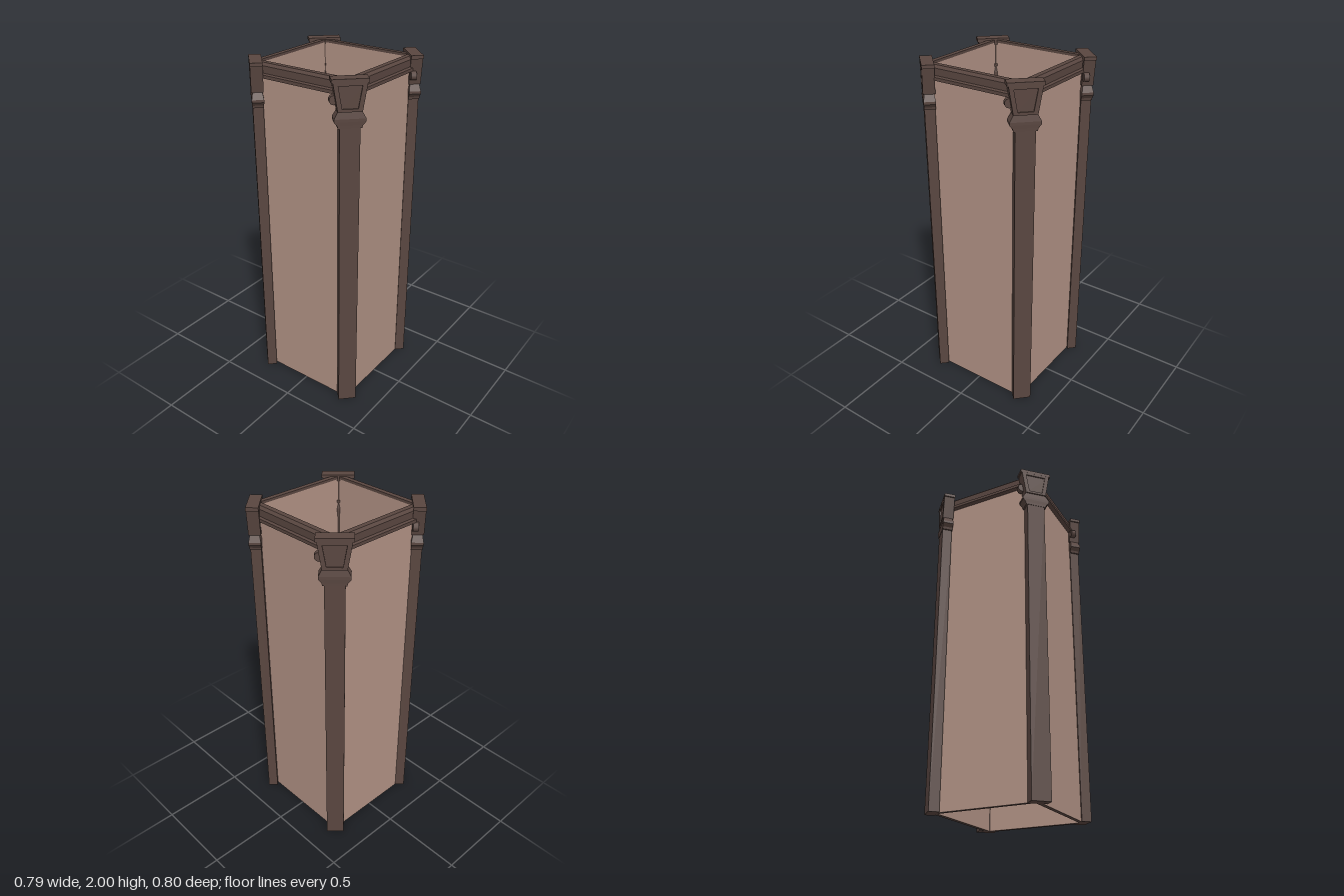
import * as THREE from 'three';

const darkWood = new THREE.MeshStandardMaterial({ color: 0x594640 });
const palePanel = new THREE.MeshStandardMaterial({ color: 0xb09184 });

function add(parent, name, geometry, material = darkWood) {
  const mesh = new THREE.Mesh(geometry, material);
  mesh.name = name;
  parent.add(mesh);
  return mesh;
}

// Block whose rectangular section changes from bottom [y, width, depth] to top
function taper([y0, w0, d0], [y1, w1, d1]) {
  const g = new THREE.BoxGeometry(1, 1, 1).toNonIndexed();
  const p = g.attributes.position;
  for (let i = 0; i < p.count; i++) {
    const top = p.getY(i) > 0;
    p.setXYZ(i, p.getX(i) * (top ? w1 : w0), top ? y1 : y0, p.getZ(i) * (top ? d1 : d0));
  }
  g.computeVertexNormals();
  return g;
}

const outline = (points) => points.map(([x, y]) => new THREE.Vector2(x, y));

// Thin frame around the sunken panel of a capital
function panelFrame() {
  const shape = new THREE.Shape(outline([[-0.062, 1.835], [0.062, 1.835], [0.086, 1.98], [-0.086, 1.98]]));
  shape.holes.push(new THREE.Path(outline([[-0.04, 1.85], [-0.06, 1.965], [0.06, 1.965], [0.04, 1.85]])));
  return new THREE.ExtrudeGeometry(shape, { depth: 0.008, bevelEnabled: false });
}

// Moulded rail: section given as (distance from centre, height)
function railGeometry(length) {
  const section = new THREE.Shape(outline([
    [0.283, 1.975], [0.303, 1.975], [0.303, 1.912], [0.338, 1.912], [0.338, 1.93],
    [0.325, 1.936], [0.325, 1.975], [0.312, 1.99], [0.283, 1.99],
  ]));
  const g = new THREE.ExtrudeGeometry(section, { depth: length, bevelEnabled: false });
  return g.translate(0, 0, -length / 2).rotateY(-Math.PI / 2);
}

function makeCorner() {
  const corner = new THREE.Group();
  add(corner, 'post', taper([0, 0.105, 0.058], [1.76, 0.105, 0.058]));

  // Flared collar and tapering head of the capital
  const levels = [
    [1.75, 0.122, 0.062], [1.765, 0.13, 0.063], [1.785, 0.162, 0.066],
    [1.8, 0.162, 0.066], [1.835, 0.124, 0.052], [1.98, 0.172, 0.052],
  ];
  for (let i = 0; i < levels.length - 1; i++) {
    add(corner, i < 4 ? 'collar' : 'capital', taper(levels[i], levels[i + 1]));
  }
  const frame = panelFrame();
  add(corner, 'outerPanelFrame', frame).position.z = 0.025;
  add(corner, 'innerPanelFrame', frame).position.z = -0.033;
  add(corner, 'capPlate', taper([1.98, 0.187, 0.067], [2, 0.187, 0.067]));

  // Small rounded bracket beside the capital
  const bracket = new THREE.CylinderGeometry(0.025, 0.025, 0.03, 10).rotateX(Math.PI / 2);
  add(corner, 'bracket', bracket).position.set(-0.076, 1.888, -0.015);
  return corner;
}

export function createModel() {
  const model = new THREE.Group();
  model.name = 'squareColumn';
  const centres = [[0.305, 0.3], [0.296, -0.313], [-0.308, -0.305], [-0.293, 0.311]];
  const wallMaterials = [0, 1, 2, 3, 4, 5].map((i) => (i === 2 || i === 3 ? darkWood : palePanel));

  centres.forEach(([x, z], i) => {
    // One side of the open shaft
    const side = new THREE.Group();
    side.name = 'side';
    side.rotation.y = i * Math.PI / 2;
    const wall = new THREE.BoxGeometry(0.595, 1.98, 0.025);
    add(side, 'wallPanel', wall, wallMaterials).position.set(0.0125, 0.99, 0.2975);
    add(side, 'topRail', railGeometry(0.58));
    model.add(side);

    // Diagonal corner post
    const corner = makeCorner();
    corner.name = 'cornerPost';
    corner.position.set(x, 0, z);
    corner.rotation.y = Math.PI / 4 + i * Math.PI / 2;
    model.add(corner);
  });
  return model;
}
